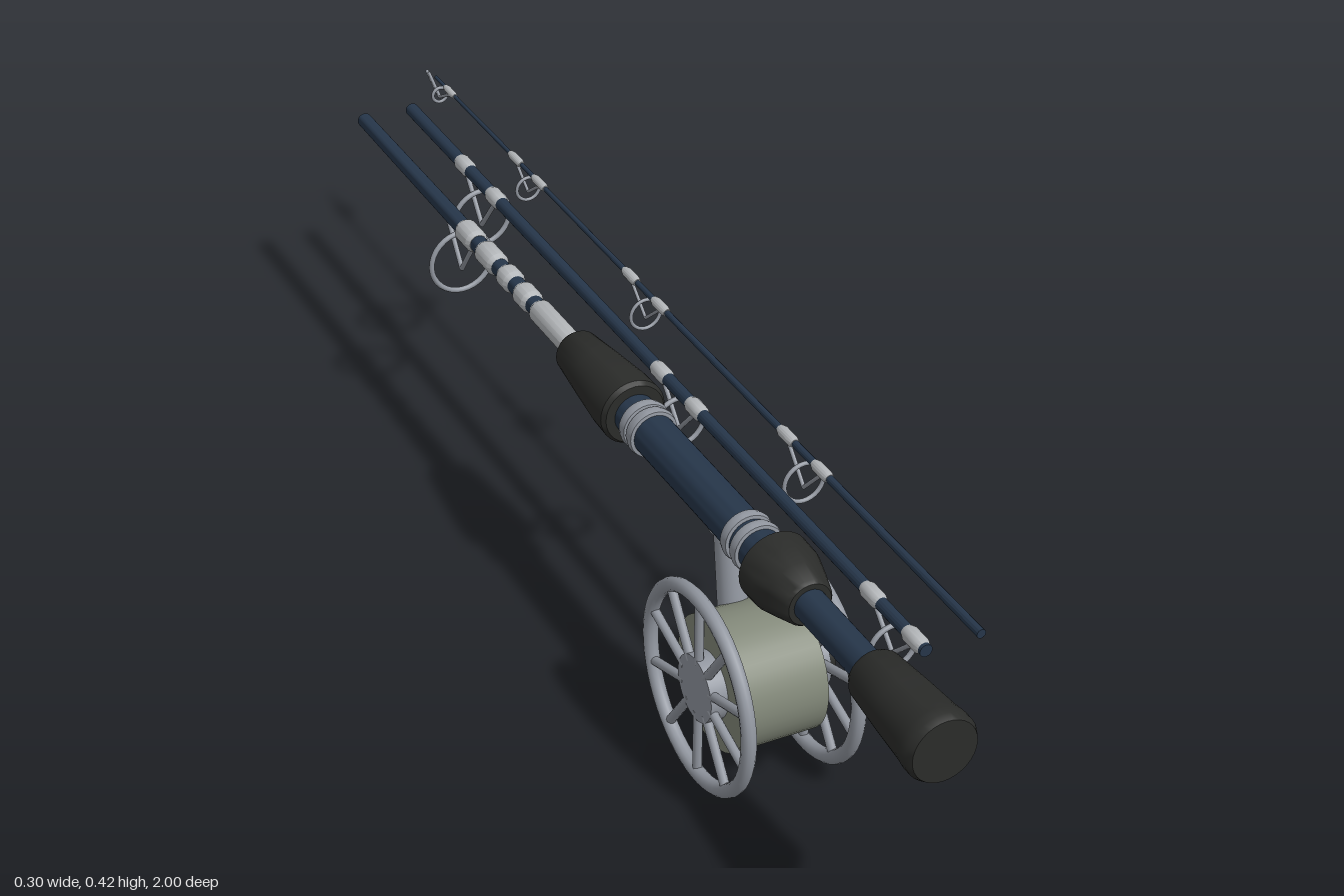
import * as THREE from 'three';
import { toCreasedNormals } from 'three/addons/utils/BufferGeometryUtils.js';

const mat = (color) => new THREE.MeshStandardMaterial({ color });
const BLUE = mat(0x26364a), DARK = mat(0x2b2c2a), METAL = mat(0x9297a0);
const WRAP = mat(0xb4b7ba), GREEN = mat(0x83897a);
const ROD_Y = 0.37;

function add(parent, name, geometry, material) {
  const mesh = new THREE.Mesh(geometry, material);
  mesh.name = name;
  parent.add(mesh);
  return mesh;
}

// Turned part along z from [radius, z] pairs, z ascending
function turned(parent, name, profile, material, segments = 24) {
  const pts = profile.map(([r, z]) => new THREE.Vector2(r, z));
  const geo = new THREE.LatheGeometry(pts, segments).rotateX(Math.PI / 2);
  return add(parent, name, toCreasedNormals(geo, 0.6), material);
}

// Straight round bar between two points
function bar(parent, name, a, b, r, material, r2 = r, segments = 10) {
  const from = new THREE.Vector3(...a), to = new THREE.Vector3(...b);
  const dir = to.clone().sub(from);
  const mesh = add(parent, name, new THREE.CylinderGeometry(r2, r, dir.length(), segments), material);
  mesh.position.copy(from).add(to).multiplyScalar(0.5);
  mesh.quaternion.setFromUnitVectors(new THREE.Vector3(0, 1, 0), dir.normalize());
  return mesh;
}

const wrap = (rod, z0, z1, r) => turned(rod, 'threadWrap',
  [[0, z0], [r * 0.75, z0], [r, z0 + 0.008], [r, z1 - 0.008], [r * 0.75, z1], [0, z1]], WRAP, 16);

// Line guide: a ring hung below the rod on two sloping legs
function guide(rod, z, radius, bottom, spread, wire, wrapRadius = 0) {
  const g = new THREE.Group();
  g.name = 'lineGuide';
  g.position.z = z;
  rod.add(g);
  const cy = bottom - ROD_Y + radius;
  add(g, 'guideRing', new THREE.TorusGeometry(radius - wire, wire, 8, 32), METAL).position.y = cy;
  for (const s of [-1, 1]) {
    bar(g, 'guideLeg', [0, -0.005, s * spread], [0, cy - radius * 0.25, 0], wire * 0.9, METAL);
    if (wrapRadius) wrap(g, s * spread - 0.022, s * spread + 0.022, wrapRadius);
  }
}

function rodSection(parent, name, x) {
  const rod = new THREE.Group();
  rod.name = name;
  rod.position.set(x, ROD_Y, 0);
  parent.add(rod);
  return rod;
}

function buildHandle(parent) {
  const rod = rodSection(parent, 'handleSection', -0.055);
  turned(rod, 'blank', [[0, -0.87], [0.012, -0.87], [0.015, -0.06], [0, -0.06]], BLUE);
  turned(rod, 'rearBlank', [[0, 0.6], [0.024, 0.6], [0.024, 0.85], [0, 0.85]], BLUE);
  turned(rod, 'reelSeat', [[0, 0.12], [0.032, 0.12], [0.032, 0.58], [0, 0.58]], BLUE, 32);
  turned(rod, 'buttGrip', [[0, 0.82], [0.036, 0.82], [0.04, 0.828], [0.046, 0.9], [0.05, 0.96],
    [0.052, 0.975], [0.052, 0.99], [0.047, 1], [0, 1]], DARK, 32);
  turned(rod, 'rearGrip', [[0, 0.55], [0.048, 0.55], [0.054, 0.556], [0.053, 0.59], [0.045, 0.62],
    [0.036, 0.65], [0.032, 0.655], [0, 0.655]], DARK, 32);
  turned(rod, 'foreGrip', [[0, -0.06], [0.03, -0.06], [0.035, -0.053], [0.043, 0.02], [0.05, 0.09],
    [0.051, 0.13], [0.046, 0.137], [0, 0.137]], DARK, 32);
  // Locking rings at both ends of the reel seat
  for (const z of [0.478, 0.505, 0.168, 0.19]) {
    turned(rod, 'seatRing', [[0.03, z - 0.009], [0.037, z - 0.008], [0.039, z], [0.037, z + 0.008],
      [0.03, z + 0.009]], METAL, 32);
  }
  for (const [a, b] of [[-0.19, -0.06], [-0.25, -0.205], [-0.31, -0.27], [-0.39, -0.33], [-0.465, -0.41]])
    wrap(rod, a, b, 0.019);
  guide(rod, -0.478, 0.056, 0.248, 0.055, 0.0045);
}

function buildMiddle(parent) {
  const rod = rodSection(parent, 'middleSection', 0.03);
  turned(rod, 'blank', [[0, -0.87], [0.011, -0.87], [0.0095, 0.81], [0, 0.81]], BLUE, 16);
  guide(rod, 0.728, 0.039, 0.283, 0.055, 0.004, 0.0125);
  guide(rod, 0.11, 0.045, 0.272, 0.055, 0.004, 0.0125);
  guide(rod, -0.59, 0.053, 0.252, 0.06, 0.0045, 0.0135);
}

function buildTip(parent) {
  const rod = rodSection(parent, 'tipSection', 0.113);
  turned(rod, 'blank', [[0, -0.96], [0.003, -0.96], [0.007, 0.81], [0, 0.81]], BLUE, 12);
  guide(rod, 0.335, 0.035, 0.287, 0.05, 0.0035, 0.009);
  guide(rod, -0.165, 0.028, 0.302, 0.05, 0.003, 0.008);
  guide(rod, -0.59, 0.023, 0.315, 0.045, 0.003, 0.007);
  guide(rod, -0.945, 0.016, 0.328, 0.045, 0.003);
  wrap(rod, -0.92, -0.88, 0.006);
}

function buildReel(parent) {
  const reel = new THREE.Group();
  reel.name = 'reel';
  reel.position.set(0, 0.16, 0.505);
  parent.add(reel);
  // Round part along the axle
  const disc = (name, x0, x1, r, material) => {
    const geo = new THREE.CylinderGeometry(r, r, x1 - x0, 40).rotateZ(-Math.PI / 2);
    add(reel, name, geo, material).position.x = (x0 + x1) / 2;
  };
  disc('spool', -0.12, 0.009, 0.1, GREEN);
  disc('hub', -0.146, 0.041, 0.05, METAL);
  disc('axleCap', 0.04, 0.054, 0.039, DARK);
  // Spoked wheels on either side
  for (const x of [-0.14, 0.029]) {
    const wheel = new THREE.Group();
    wheel.name = 'wheel';
    wheel.position.x = x;
    reel.add(wheel);
    add(wheel, 'rim', new THREE.TorusGeometry(0.147, 0.011, 12, 56).rotateY(Math.PI / 2), METAL);
    for (let i = 0; i < 10; i++) {
      const a = Math.PI / 2 + i * Math.PI / 5, c = Math.cos(a), s = Math.sin(a);
      bar(wheel, 'spoke', [0, 0.04 * s, 0.04 * c], [0, 0.147 * s, 0.147 * c], 0.007, METAL);
    }
  }
  // Stem and foot joining the reel to the seat
  bar(reel, 'stem', [-0.055, 0.05, -0.06], [-0.055, 0.185, -0.08], 0.022, METAL, 0.021, 20);
  const foot = add(reel, 'foot', new THREE.CapsuleGeometry(0.02, 0.08, 6, 16).rotateX(Math.PI / 2), METAL);
  foot.position.set(-0.055, 0.185, -0.06);
}

export function createModel() {
  const model = new THREE.Group();
  model.name = 'fishingRod';
  buildHandle(model);
  buildMiddle(model);
  buildTip(model);
  buildReel(model);
  // Tip-top support reaching past the end of the blank
  bar(model, 'tipStay', [0.113, 0.338, -0.945], [0.113, 0.365, -0.999], 0.003, METAL);
  return model;
}
